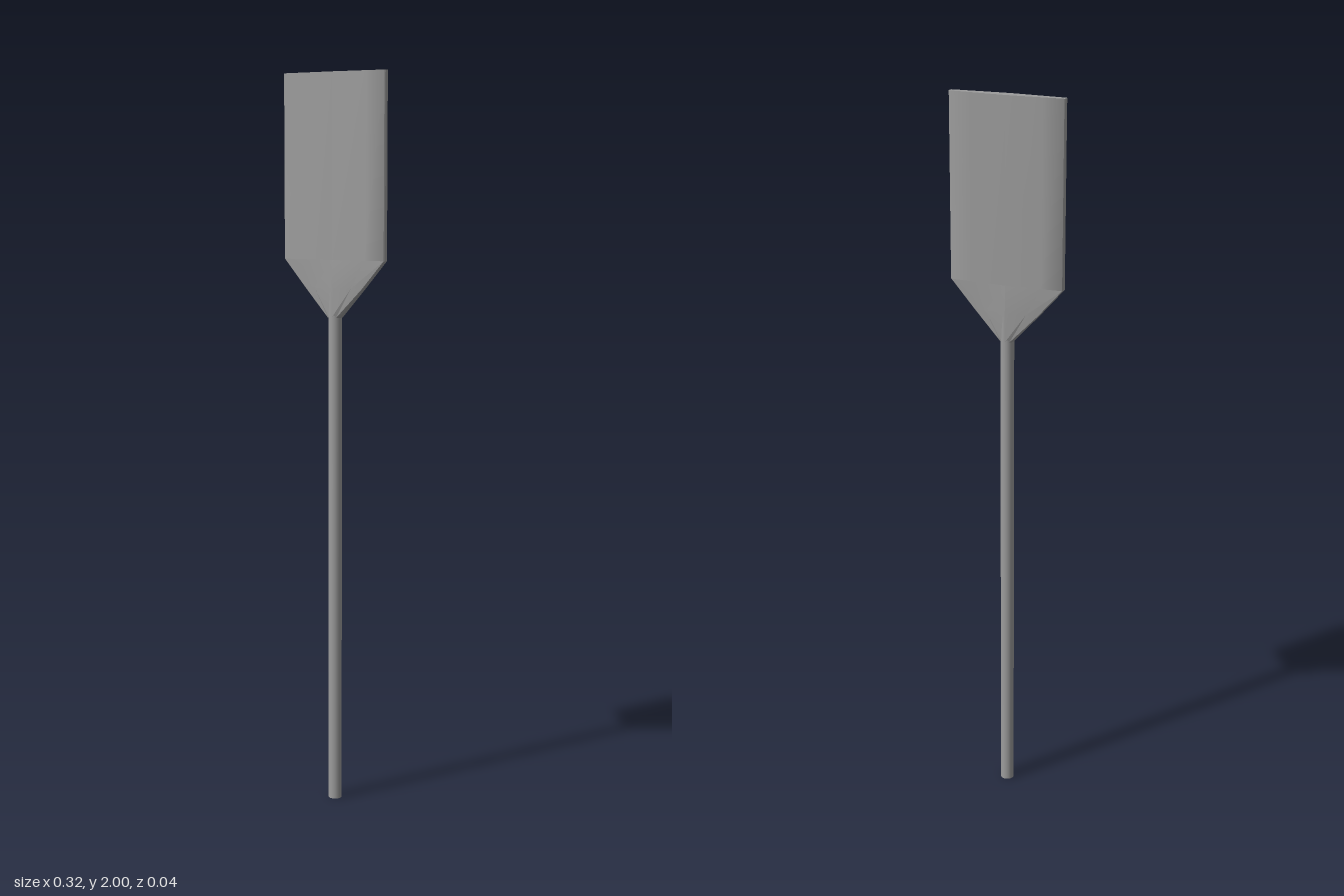
import * as THREE from 'three';
import { toCreasedNormals } from 'three/addons/utils/BufferGeometryUtils.js';

const material = new THREE.MeshStandardMaterial({ color: 0x9c9c9c });
const SHAFT_RADIUS = 0.0185;
const BEVEL = 0.0025;

// Flattened diamond outline with bevelled side edges, from +x towards +z
function section({ y, half, ridge, edge }) {
  const quarter = [
    [half, edge - BEVEL],
    [half - BEVEL, edge],
    [half * 0.62, THREE.MathUtils.lerp(ridge, edge, 0.62)],
  ];
  const front = [...quarter, [0, ridge], ...quarter.map(([x, z]) => [-x, z]).reverse()];
  const back = front.map(([x, z]) => [-x, -z]);
  return [...front, ...back].map(([x, z]) => [x, y, z]);
}

// Skin between matching rings, closed at both ends
function loft(sections, creaseAngle) {
  const rings = sections.map(section);
  const n = rings[0].length;
  const index = [];
  for (let i = 0; i < rings.length - 1; i++) {
    for (let j = 0; j < n; j++) {
      const a = i * n + j, b = i * n + (j + 1) % n;
      index.push(a, a + n, b, b, a + n, b + n);
    }
  }
  const top = (rings.length - 1) * n;
  for (let j = 1; j < n - 1; j++) {
    index.push(0, j, j + 1, top, top + j + 1, top + j);
  }
  const geometry = new THREE.BufferGeometry();
  geometry.setAttribute('position', new THREE.Float32BufferAttribute(rings.flat(2), 3));
  geometry.setIndex(index);
  return toCreasedNormals(geometry.toNonIndexed(), creaseAngle);
}

export function createModel() {
  const group = new THREE.Group();
  group.name = 'paddle';
  const add = (name, geometry) => {
    const mesh = new THREE.Mesh(geometry, material);
    mesh.name = name;
    group.add(mesh);
  };

  // Round shaft, its top end buried in the neck
  const shaftHeight = 1.42;
  add('shaft', new THREE.CylinderGeometry(SHAFT_RADIUS, SHAFT_RADIUS, shaftHeight, 20)
    .translate(0, shaftHeight / 2, 0));

  // Faceted neck, spreading from the shaft to the full blade width
  const shoulder = { y: 1.505, half: 0.158, ridge: 0.0155, edge: 0.008 };
  add('neck', loft([
    { y: 1.35, half: SHAFT_RADIUS, ridge: SHAFT_RADIUS, edge: 0.011 },
    { y: 1.43, half: 0.092, ridge: SHAFT_RADIUS, edge: 0.009 },
    shoulder,
  ], 0.1));

  // Blade with a shallow centre ridge
  add('blade', loft([shoulder, { ...shoulder, y: 2, ridge: 0.015 }], 0.95));

  return group;
}
